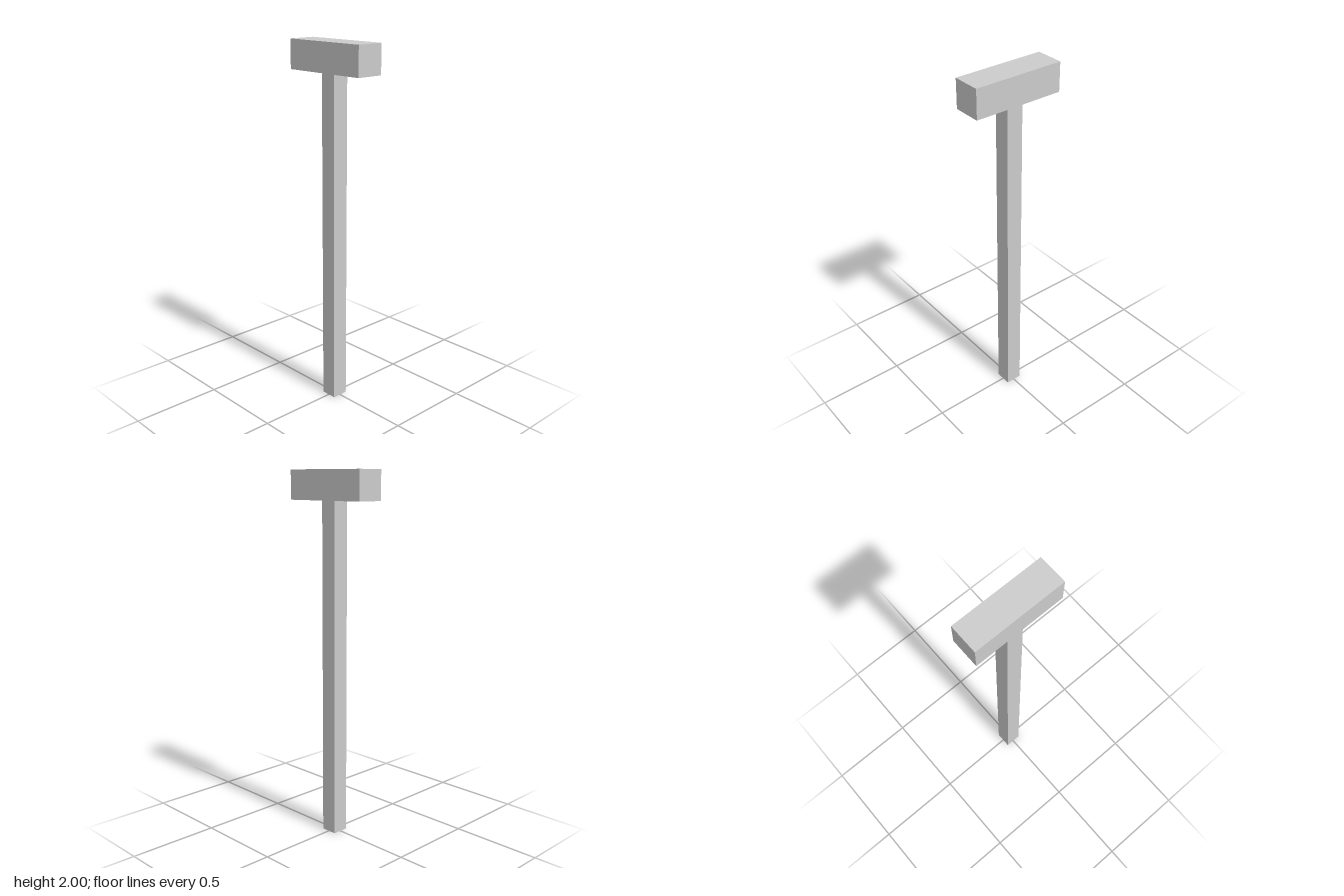
import * as THREE from 'three';

const material = new THREE.MeshStandardMaterial({ color: 0xcccccc, side: THREE.DoubleSide });

// Box shell standing on height y, left open underneath
function openBox(name, width, height, depth, y) {
  const geometry = new THREE.BoxGeometry(width, height, depth);
  const index = Array.from(geometry.index.array);
  index.splice(18, 6); // drop the bottom face
  geometry.setIndex(index);
  geometry.clearGroups();
  geometry.translate(0, y + height / 2, 0);
  const mesh = new THREE.Mesh(geometry, material);
  mesh.name = name;
  return mesh;
}

export function createModel() {
  const model = new THREE.Group();
  model.name = 'hammer';
  model.add(
    openBox('handle', 0.092, 1.842, 0.092, 0), // long square shaft
    openBox('head', 0.506, 0.158, 0.158, 1.842) // block across the top
  );
  return model;
}
